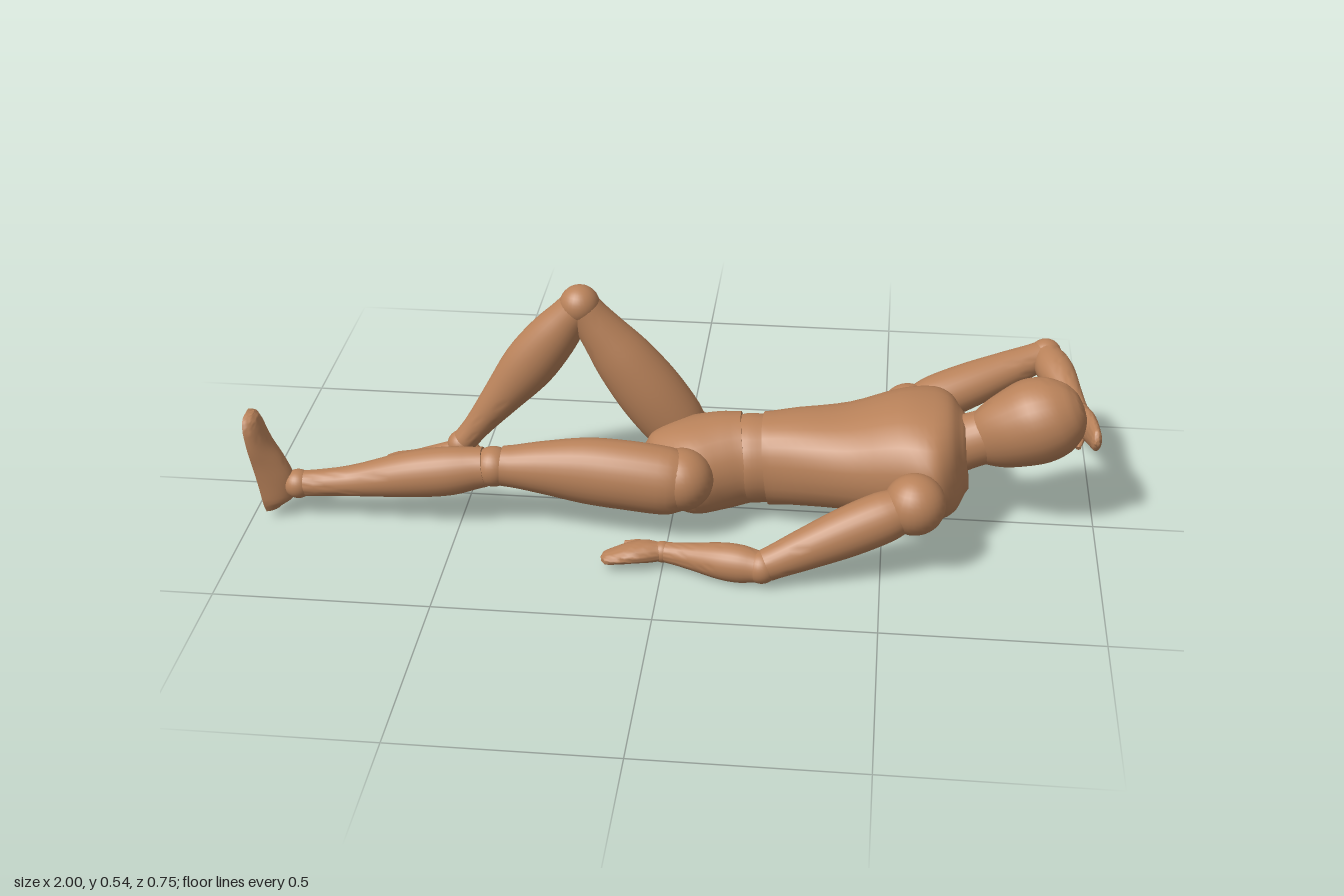
import * as THREE from 'three';
import { toCreasedNormals } from 'three/addons/utils/BufferGeometryUtils.js';

const V = (a) => new THREE.Vector3(...a);
const SEG = 28;

export function createModel() {
  const wood = new THREE.MeshStandardMaterial({ color: 0xb9825a });
  wood.name = 'warmWood';
  const model = new THREE.Group();
  model.name = 'recliningMannequin';

  function add(name, geo) {
    const m = new THREE.Mesh(geo, wood);
    m.name = name;
    model.add(m);
    return m;
  }

  // Smooth skin through elliptical sections [x, y, z, halfWidth, halfHeight];
  // "side" is the width direction, "flat" cuts off the lower half for soles
  function loft(name, secs, side, { flat = false, power = 1, steps = 4 } = {}) {
    const pathOf = (f) => new THREE.CatmullRomCurve3(secs.map(f), false, 'centripetal');
    const axis = V(secs.at(-1)).sub(V(secs[0]));
    axis.copy(new THREE.Vector3(secs.at(-1)[0] - secs[0][0], secs.at(-1)[1] - secs[0][1], secs.at(-1)[2] - secs[0][2])).normalize();
    const s = V(side).addScaledVector(axis, -V(side).dot(axis)).normalize();
    const u = axis.clone().cross(s);
    const centre = pathOf((p) => new THREE.Vector3(p[0], p[1], p[2]));
    const n = (secs.length - 1) * steps;
    const pos = [], idx = [];
    const cubic = (k, i, t) => {
      const g = (j) => secs[Math.min(Math.max(j, 0), secs.length - 1)][k];
      const a = g(i - 1), b = g(i), c = g(i + 1), d = g(i + 2);
      return Math.max(0.002, b + 0.5 * t * (c - a + t * (2 * a - 5 * b + 4 * c - d + t * (3 * (b - c) + d - a))));
    };
    for (let r = 0; r <= n; r++) {
      const i = Math.min(Math.floor(r / steps), secs.length - 2), t = r / steps - i;
      const c = centre.getPoint(r / n), w = cubic(3, i, t), h = cubic(4, i, t);
      for (let j = 0; j < SEG; j++) {
        const a = (j / SEG) * Math.PI * 2;
        const pw = (v) => Math.sign(v) * Math.abs(v) ** power;
        const up = flat ? Math.max(0, Math.sin(a)) : pw(Math.sin(a));
        const p = c.clone().addScaledVector(s, w * pw(Math.cos(a))).addScaledVector(u, h * up);
        pos.push(p.x, p.y, p.z);
      }
    }
    for (let r = 0; r < n; r++) for (let j = 0; j < SEG; j++) {
      const k = (j + 1) % SEG, a = r * SEG + j, b = r * SEG + k;
      idx.push(a, b, b + SEG, a, b + SEG, a + SEG);
    }
    // end caps
    const first = pos.length / 3;
    pos.push(...secs[0].slice(0, 3), ...secs.at(-1).slice(0, 3));
    for (let j = 0; j < SEG; j++) {
      const k = (j + 1) % SEG;
      idx.push(first, k, j, first + 1, n * SEG + j, n * SEG + k);
    }
    const geo = new THREE.BufferGeometry();
    geo.setAttribute('position', new THREE.Float32BufferAttribute(pos, 3));
    geo.setIndex(idx);
    return add(name, toCreasedNormals(geo, 0.8));
  }

  // Straight limb between two joints, profile rows [t, halfWidth, halfHeight]
  function limb(name, from, to, side, profile) {
    const secs = profile.map(([t, w, h]) => [...V(from).lerp(V(to), t).toArray(), w, h]);
    return loft(name, secs, side);
  }

  function ball(name, c, r) {
    add(name, new THREE.SphereGeometry(r, 28, 18)).position.set(...c);
  }

  // Torso
  const Z = [0, 0, 1];
  loft('chest', [
    [0.22, 0.15, 0, 0.1, 0.11], [0.3, 0.16, 0, 0.118, 0.112], [0.42, 0.172, 0.005, 0.145, 0.116],
    [0.54, 0.19, 0.01, 0.175, 0.137], [0.62, 0.195, 0.01, 0.192, 0.135],
    [0.66, 0.197, 0.008, 0.155, 0.122], [0.69, 0.2, 0.006, 0.09, 0.085],
  ], Z, { power: 0.88 });
  loft('waist', [
    [0.14, 0.145, 0, 0.1, 0.1], [0.18, 0.148, 0, 0.104, 0.108], [0.23, 0.15, 0, 0.098, 0.106],
  ], Z);
  loft('pelvis', [
    [0.17, 0.15, 0, 0.103, 0.112], [0.12, 0.142, 0.004, 0.118, 0.116], [0.05, 0.132, 0.015, 0.138, 0.112],
    [0, 0.125, 0.015, 0.11, 0.103], [-0.045, 0.12, 0.015, 0.065, 0.085], [-0.07, 0.12, 0.015, 0.03, 0.05],
  ], Z);

  // Neck and egg-shaped head
  loft('neck', [[0.65, 0.215, 0.005, 0.075, 0.07], [0.7, 0.23, 0.005, 0.062, 0.065], [0.79, 0.27, 0.01, 0.06, 0.065]], Z);
  loft('head', [
    [0.69, 0.218, 0.01, 0.01, 0.01], [0.7, 0.222, 0.01, 0.037, 0.045], [0.74, 0.242, 0.01, 0.062, 0.077],
    [0.79, 0.266, 0.01, 0.086, 0.093], [0.845, 0.292, 0.01, 0.099, 0.102], [0.895, 0.312, 0.01, 0.089, 0.091],
    [0.93, 0.326, 0.01, 0.062, 0.064], [0.946, 0.333, 0.01, 0.032, 0.033], [0.95, 0.335, 0.01, 0.003, 0.003],
  ], Z);

  // Straight left leg
  ball('leftHipJoint', [0.03, 0.155, 0.13], 0.074);
  loft('leftThigh', [
    [0.05, 0.152, 0.137, 0.058, 0.066], [0, 0.153, 0.137, 0.071, 0.082], [-0.1, 0.16, 0.133, 0.073, 0.084],
    [-0.2, 0.164, 0.128, 0.069, 0.08], [-0.31, 0.168, 0.13, 0.056, 0.062], [-0.395, 0.168, 0.133, 0.046, 0.048],
  ], Z);
  ball('leftKneeJoint', [-0.415, 0.166, 0.134], 0.048);
  loft('leftShin', [
    [-0.435, 0.164, 0.135, 0.045, 0.048], [-0.52, 0.148, 0.135, 0.054, 0.059], [-0.62, 0.133, 0.136, 0.052, 0.055],
    [-0.76, 0.108, 0.138, 0.037, 0.037], [-0.87, 0.095, 0.139, 0.031, 0.031],
  ], Z);
  ball('leftAnkleJoint', [-0.888, 0.094, 0.14], 0.035);
  loft('leftFoot', [
    [-0.965, 0.027, 0.14, 0.026, 0.03], [-0.968, 0.05, 0.14, 0.034, 0.068], [-0.974, 0.1, 0.14, 0.038, 0.078],
    [-0.981, 0.15, 0.14, 0.043, 0.066], [-0.988, 0.2, 0.141, 0.049, 0.045], [-0.995, 0.25, 0.142, 0.047, 0.033],
    [-0.998, 0.272, 0.142, 0.036, 0.027], [-0.999, 0.28, 0.142, 0.022, 0.02],
  ], Z, { flat: true });

  // Raised right leg
  const rHip = [0.02, 0.15, -0.085], rKnee = [-0.233, 0.498, -0.072], rAnkle = [-0.535, 0.1, -0.08];
  ball('rightHipJoint', rHip, 0.074);
  limb('rightThigh', rHip, rKnee, Z, [
    [-0.03, 0.058, 0.06], [0.12, 0.07, 0.076], [0.35, 0.074, 0.08], [0.6, 0.067, 0.071], [0.82, 0.053, 0.053], [0.97, 0.045, 0.044],
  ]);
  ball('rightKneeJoint', rKnee, 0.048);
  limb('rightShin', rKnee, rAnkle, Z, [
    [0.03, 0.045, 0.045], [0.22, 0.053, 0.06], [0.42, 0.054, 0.064], [0.65, 0.045, 0.048], [0.85, 0.034, 0.034], [0.97, 0.031, 0.031],
  ]);
  ball('rightAnkleJoint', rAnkle, 0.035);
  loft('rightFoot', [
    [-0.472, 0.033, -0.075, 0.026, 0.03], [-0.495, 0.033, -0.075, 0.034, 0.068], [-0.545, 0.033, -0.075, 0.038, 0.077],
    [-0.6, 0.033, -0.073, 0.043, 0.062], [-0.65, 0.033, -0.07, 0.048, 0.044], [-0.7, 0.033, -0.069, 0.046, 0.033],
    [-0.722, 0.033, -0.069, 0.035, 0.026], [-0.73, 0.033, -0.069, 0.022, 0.02],
  ], Z, { flat: true });

  // Left arm resting along the body
  const upperArm = [[0.06, 0.05, 0.05], [0.2, 0.057, 0.059], [0.45, 0.054, 0.058], [0.75, 0.044, 0.047], [0.97, 0.036, 0.038]];
  const foreArm = [[0.02, 0.036, 0.036], [0.2, 0.042, 0.044], [0.4, 0.042, 0.043], [0.7, 0.031, 0.032], [0.96, 0.024, 0.024]];
  const lShoulder = [0.57, 0.188, 0.243], lElbow = [0.232, 0.055, 0.333], lWrist = [0, 0.046, 0.277];
  ball('leftShoulderJoint', lShoulder, 0.071);
  limb('leftUpperArm', lShoulder, lElbow, Z, upperArm);
  ball('leftElbowJoint', lElbow, 0.038);
  limb('leftForearm', lElbow, lWrist, Z, foreArm);
  ball('leftWristJoint', lWrist, 0.025);
  loft('leftHand', [
    [0, 0.046, 0.277, 0.022, 0.022], [-0.035, 0.046, 0.278, 0.034, 0.024], [-0.07, 0.045, 0.286, 0.036, 0.021],
    [-0.105, 0.04, 0.295, 0.031, 0.016], [-0.132, 0.035, 0.3, 0.022, 0.012], [-0.14, 0.033, 0.301, 0.008, 0.005],
  ], Z);
  loft('leftThumb', [
    [-0.025, 0.045, 0.262, 0.014, 0.014], [-0.06, 0.043, 0.248, 0.013, 0.013], [-0.092, 0.04, 0.238, 0.006, 0.006],
  ], Z);

  // Right arm folded behind the head
  const Y = [0, 1, 0];
  const rShoulder = [0.55, 0.185, -0.212], rElbow = [0.882, 0.29, -0.34], rWrist = [0.955, 0.25, -0.115];
  ball('rightShoulderJoint', rShoulder, 0.065);
  limb('rightUpperArm', rShoulder, rElbow, Y, upperArm);
  ball('rightElbowJoint', rElbow, 0.039);
  limb('rightForearm', rElbow, rWrist, Y, foreArm);
  ball('rightWristJoint', rWrist, 0.025);
  loft('rightHand', [
    [0.955, 0.25, -0.115, 0.022, 0.022], [0.965, 0.248, -0.08, 0.034, 0.024], [0.974, 0.248, -0.045, 0.035, 0.021],
    [0.981, 0.25, -0.01, 0.032, 0.016], [0.986, 0.251, 0.022, 0.025, 0.012], [0.987, 0.251, 0.034, 0.008, 0.005],
  ], Y);
  loft('rightThumb', [
    [0.958, 0.235, -0.09, 0.014, 0.014], [0.955, 0.217, -0.058, 0.013, 0.013], [0.95, 0.205, -0.025, 0.006, 0.006],
  ], Y);

  return model;
}
